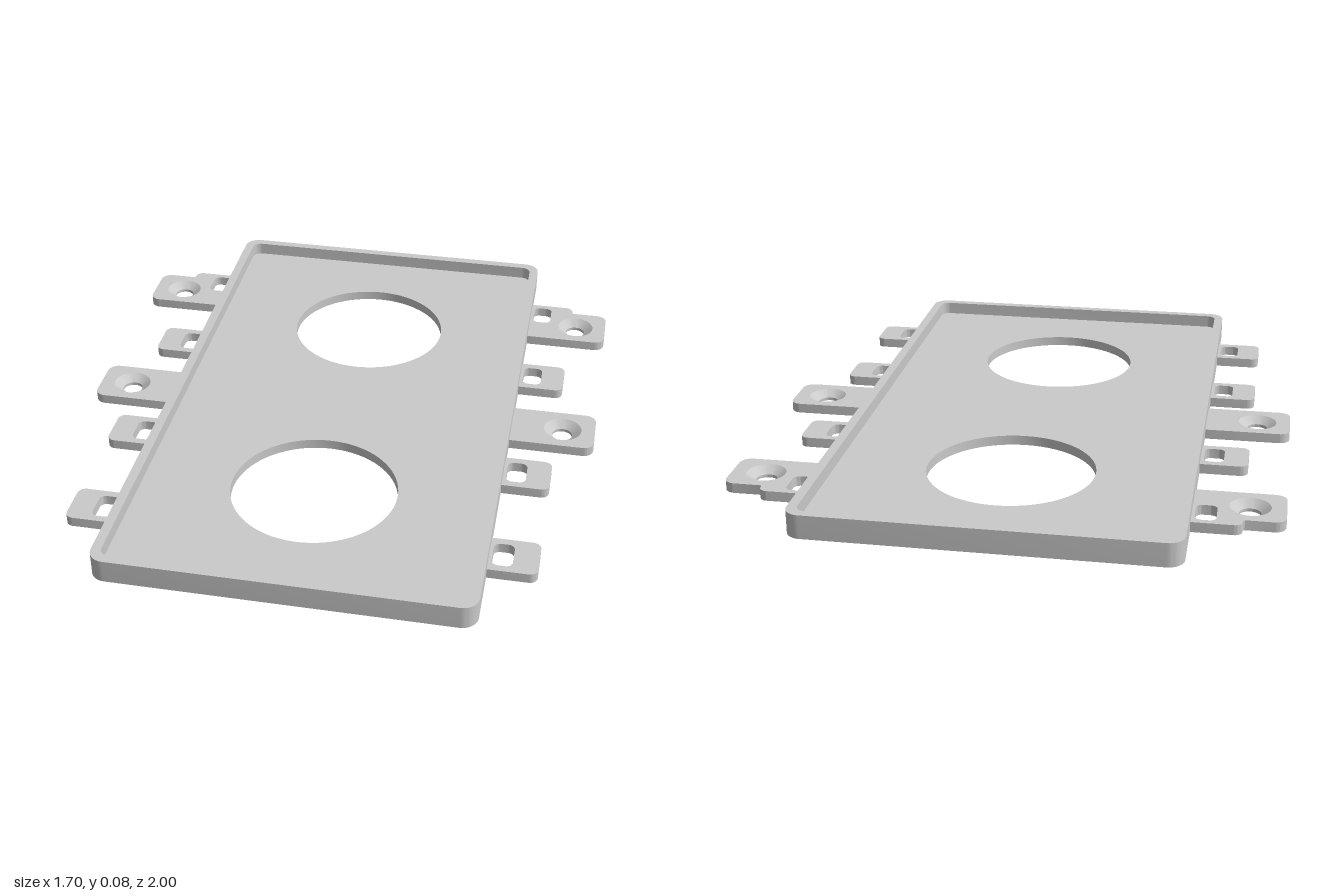
import * as THREE from 'three';
import { toCreasedNormals } from 'three/addons/utils/BufferGeometryUtils.js';

const FLOOR = 0.032, RIM = 0.075, TAB = 0.032;
const SINK = 0.062, BORE = 0.033;

// Closed counter-clockwise outline through [x, z, cornerRadius] points; corners are rounded
function trace(path, corners) {
  const pts = corners.map(([x, z, r = 0]) => ({ p: new THREE.Vector2(x, -z), r }));
  if (THREE.ShapeUtils.area(pts.map((c) => c.p)) < 0) pts.reverse();
  const n = pts.length;
  pts.forEach(({ p, r }, i) => {
    const a = pts[(i + n - 1) % n].p.clone().sub(p).normalize();
    const b = pts[(i + 1) % n].p.clone().sub(p).normalize();
    const p0 = p.clone().addScaledVector(a, r);
    const p1 = p.clone().addScaledVector(b, r);
    if (i === 0) path.moveTo(p0.x, p0.y);
    else path.lineTo(p0.x, p0.y);
    if (r > 0) {
      const c0 = p.clone().addScaledVector(a, r * 0.45);
      const c1 = p.clone().addScaledVector(b, r * 0.45);
      path.bezierCurveTo(c0.x, c0.y, c1.x, c1.y, p1.x, p1.y);
    }
  });
  path.closePath();
  return path;
}

const rect = (x0, x1, z0, z1, r) => [[x0, z0, r], [x1, z0, r], [x1, z1, r], [x0, z1, r]];

function circle(x, z, r) {
  const path = new THREE.Path();
  path.absarc(x, -z, r, 0, Math.PI * 2, false);
  return path;
}

// Extrude an outline upward from y = 0
function slab(outline, holes, height, curveSegments) {
  const shape = trace(new THREE.Shape(), outline);
  shape.holes.push(...holes);
  const geo = new THREE.ExtrudeGeometry(shape, { depth: height, bevelEnabled: false, curveSegments });
  geo.rotateX(-Math.PI / 2);
  return toCreasedNormals(geo, 0.6);
}

export function createModel() {
  const model = new THREE.Group();
  model.name = 'mountingTray';
  const grey = new THREE.MeshStandardMaterial({ color: 0xcacaca });
  grey.name = 'grey';

  const add = (name, geo, parent = model) => {
    const mesh = new THREE.Mesh(geo, grey);
    mesh.name = name;
    parent.add(mesh);
    return mesh;
  };

  // Tray: raised rim around a thinner floor with two large openings
  const inner = rect(-0.545, 0.545, -0.97, 0.97, 0.03);
  add('rim', slab(rect(-0.575, 0.575, -1, 1, 0.05), [trace(new THREE.Path(), inner)], RIM, 10));
  add('floor', slab(inner, [circle(0, -0.492, 0.264), circle(0, 0.49, 0.264)], FLOOR, 40));

  // Conical screw seat with a straight bore below it
  const seat = toCreasedNormals(new THREE.LatheGeometry([
    new THREE.Vector2(SINK, TAB),
    new THREE.Vector2(BORE, 0.01),
    new THREE.Vector2(BORE, 0),
    new THREE.Vector2(SINK, 0),
  ], 32), 0.5);

  for (const s of [1, -1]) {
    const side = new THREE.Group();
    side.name = s > 0 ? 'leftTabs' : 'rightTabs';
    model.add(side);
    const flip = (pts) => pts.map(([x, z, r]) => [s * x, z, r]);
    const slot = (z0, z1) => trace(new THREE.Path(), flip(rect(0.585, 0.648, z0, z1, 0.02)));
    const tab = (z0, z1, x1, r) => flip([[0.575, z0], [x1, z0, r], [x1, z1, r], [0.575, z1]]);
    const addSeat = (z) => add('screwSeat', seat, side).position.set(s * 0.743, 0, z);

    // Slotted clip tabs
    for (const z of [-0.284, 0.284, 0.697]) {
      add('clipTab', slab(tab(z - 0.074, z + 0.074, 0.725, 0.025), [slot(z - 0.05, z + 0.05)], TAB, 8), side);
    }

    // Middle screw ear
    add('screwEar', slab(tab(-0.077, 0.111, 0.85, 0.035), [circle(s * 0.743, 0.017, SINK)], TAB, 16), side);
    addSeat(0.017);

    // Rear screw ear merged with a slotted tab
    const rear = flip([
      [0.575, -0.772], [0.725, -0.772, 0.025], [0.725, -0.735, 0.008],
      [0.85, -0.735, 0.035], [0.85, -0.547, 0.035], [0.575, -0.547],
    ]);
    add('rearEar', slab(rear, [slot(-0.752, -0.652), circle(s * 0.743, -0.641, SINK)], TAB, 16), side);
    addSeat(-0.641);
  }
  return model;
}
